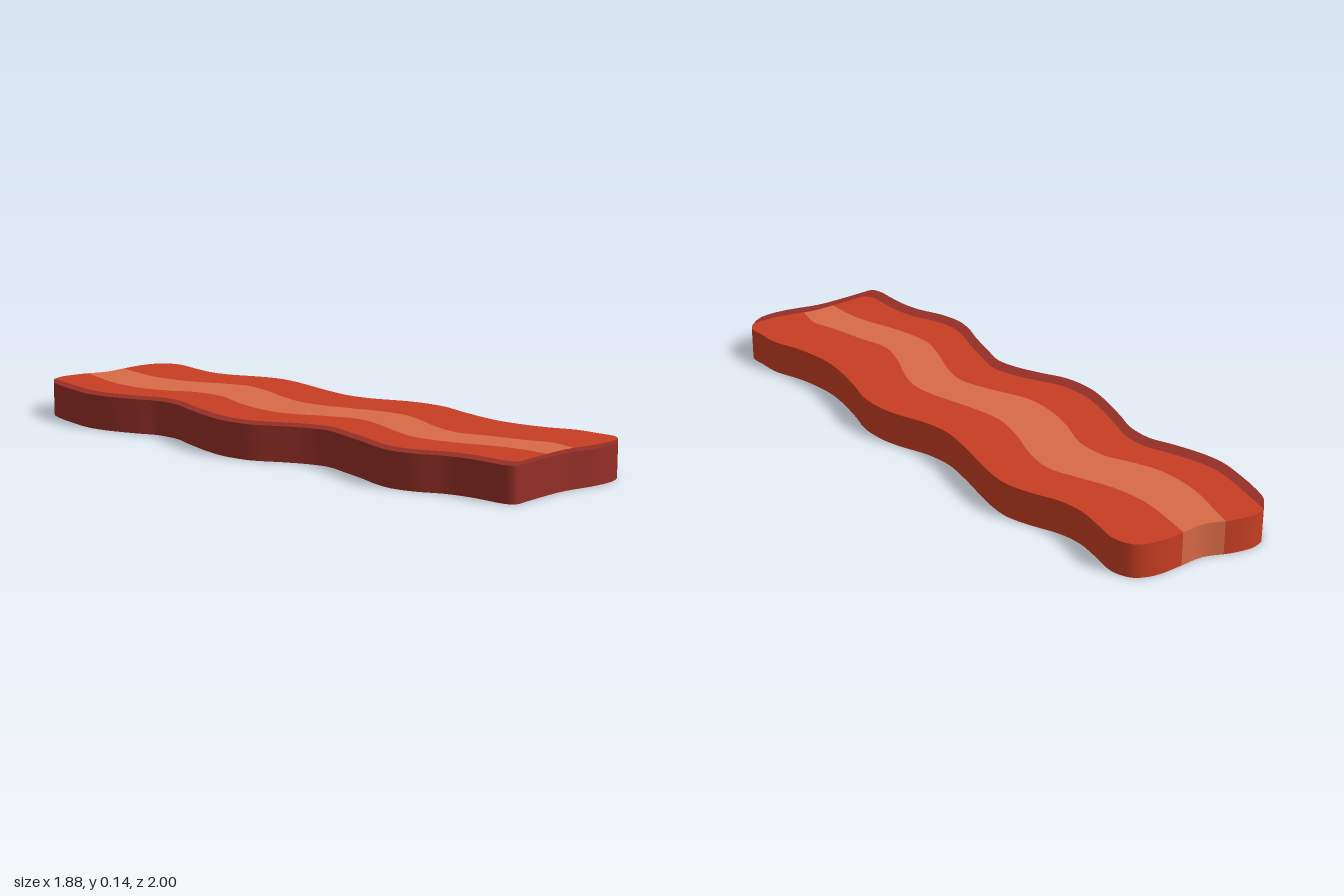
import * as THREE from 'three';
import { toCreasedNormals } from 'three/addons/utils/BufferGeometryUtils.js';

const HEIGHT = 0.137;

// Outline points as x, z pairs in hundredths of a unit, from the back left corner to the front right one
const LEFT_AND_FRONT = [
  -93, -79, -94, -72, -92, -65, -88, -56, -83, -47, -76, -40, -66, -33, -58, -28, -52, -20, -49, -11, -44, 2,
  -39, 11, -31, 19, -21, 24, -12, 29, -5, 35, -1, 44, 3, 54, 6, 63, 10, 70, 17, 76, 26, 81, 33, 87, 38, 93,
  42, 98, 46, 100, 51, 97, 59, 92, 68, 87, 80, 83, 88, 79, 92, 75, 94, 70,
];
const BACK_AND_RIGHT = [
  -93, -79, -89, -83, -81, -86, -71, -88, -63, -93, -55, -98, -48, -100, -43, -99, -38, -95, -34, -87, -29, -78,
  -22, -71, -12, -65, -4, -59, 1, -52, 5, -44, 10, -33, 16, -22, 24, -14, 35, -7, 42, -1, 48, 7, 52, 17,
  59, 31, 66, 40, 75, 48, 84, 54, 90, 61, 94, 66, 94, 70,
];
// Both edges of the fat stripe, from back to front
const STRIPE_LEFT = [
  -78, -86, -75, -77, -70, -65, -61, -53, -51, -46, -40, -40, -32, -30, -28, -17, -22, -5, -14, 4, 0, 12,
  10, 19, 15, 28, 19, 42, 24, 53, 35, 63, 47, 71, 55, 78, 62, 86,
];
const STRIPE_RIGHT = [
  -63, -93, -58, -83, -52, -73, -42, -63, -29, -55, -19, -48, -13, -37, -9, -24, -3, -12, 8, -2, 20, 7,
  28, 15, 32, 24, 35, 37, 40, 48, 50, 56, 61, 65, 69, 71, 73, 80,
];

function toPoints(flat) {
  const points = [];
  for (let i = 0; i < flat.length; i += 2) points.push(new THREE.Vector2(flat[i] / 100, flat[i + 1] / 100));
  return points;
}

const smooth = (points) => new THREE.SplineCurve(points).getPoints((points.length - 1) * 4);

function nearest(curve, point) {
  let best = 0;
  curve.forEach((p, i) => {
    if (p.distanceTo(point) < curve[best].distanceTo(point)) best = i;
  });
  return best;
}

// Upright slab between two curves that run the same way
function slab(name, sideA, sideB, material) {
  const loop = [...sideA, ...[...sideB].reverse()];
  const clean = loop.filter((p, i) => p.distanceTo(loop[(i + 1) % loop.length]) > 1e-5);
  const extruded = new THREE.ExtrudeGeometry(new THREE.Shape(clean), { depth: HEIGHT, bevelEnabled: false });
  extruded.rotateX(Math.PI / 2).translate(0, HEIGHT, 0);
  const mesh = new THREE.Mesh(toCreasedNormals(extruded, 0.6), material);
  mesh.name = name;
  return mesh;
}

export function createModel() {
  const meat = new THREE.MeshStandardMaterial({ color: 0xc83e23 });
  meat.name = 'red meat';
  const fat = new THREE.MeshStandardMaterial({ color: 0xd86a47 });
  fat.name = 'pale fat';
  const rind = new THREE.MeshStandardMaterial({ color: 0x952f27 });
  rind.name = 'dark rind';

  // The inner edge of the rind is its outer edge, shifted, and pinned at both ends
  const outer = toPoints(LEFT_AND_FRONT);
  const shift = new THREE.Vector2(0.027, -0.058);
  const innerPoints = [
    outer[0],
    ...outer.slice(2, -2).map((p) => p.clone().add(shift)),
    outer[outer.length - 1],
  ];
  const outerEdge = smooth(outer);
  const innerEdge = smooth(innerPoints);
  const backRight = smooth(toPoints(BACK_AND_RIGHT));

  // Join the stripe's edges to the back outline and the rind
  const [left, right] = [STRIPE_LEFT, STRIPE_RIGHT].map((flat) => {
    const points = toPoints(flat);
    const back = nearest(backRight, points[0]);
    const front = nearest(innerEdge, points[points.length - 1]);
    points[0] = backRight[back];
    points[points.length - 1] = innerEdge[front];
    return { edge: smooth(points), back, front };
  });

  const model = new THREE.Group();
  model.name = 'baconStrip';
  model.add(
    slab('rind', outerEdge, innerEdge, rind),
    slab('leftMeat', innerEdge.slice(0, left.front + 1),
      [...backRight.slice(0, left.back + 1), ...left.edge], meat),
    slab('fatStripe', [...left.edge, ...innerEdge.slice(left.front, right.front + 1)],
      [...backRight.slice(left.back, right.back + 1), ...right.edge], fat),
    slab('rightMeat', [...right.edge, ...innerEdge.slice(right.front)],
      backRight.slice(right.back), meat),
  );
  return model;
}
